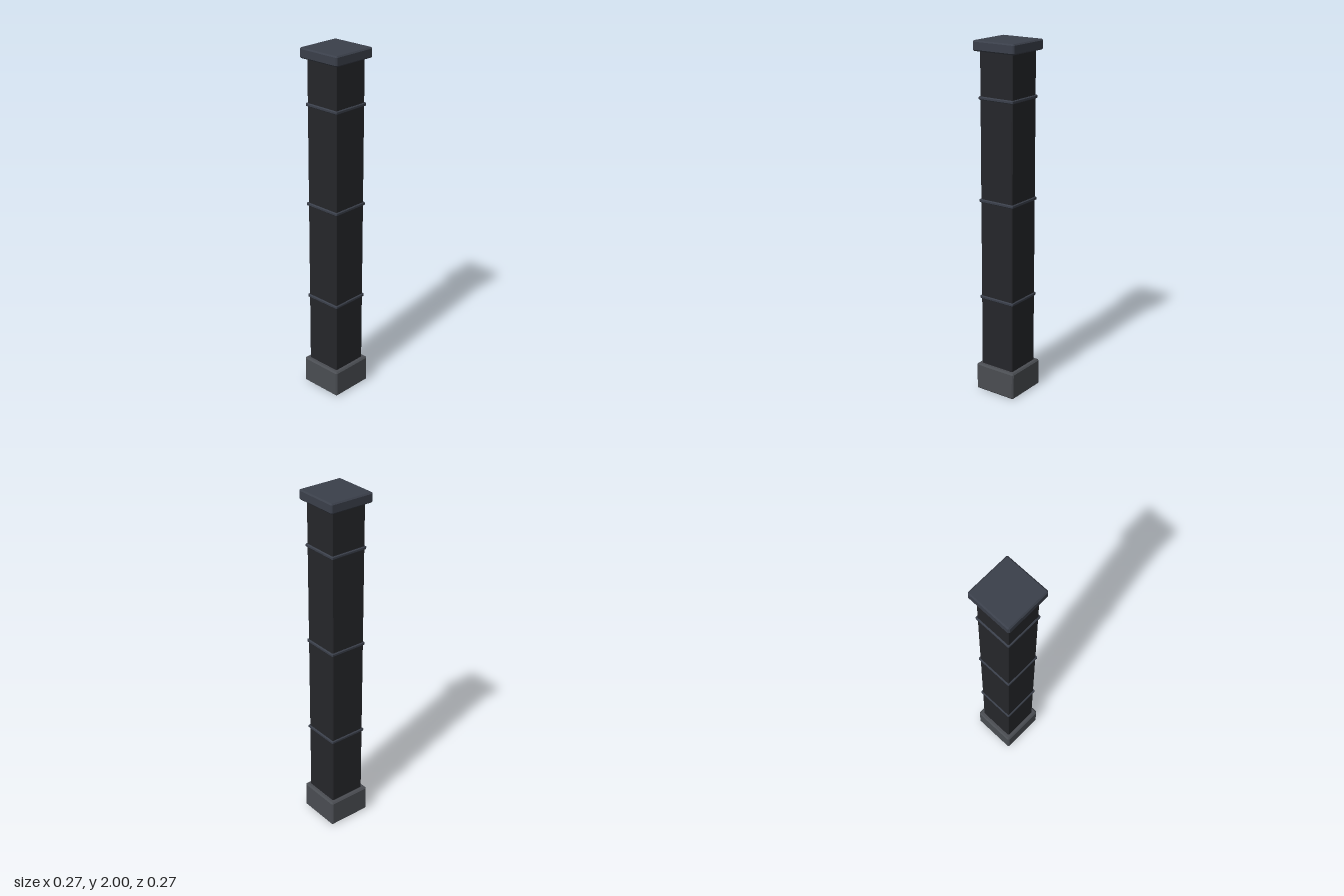
import * as THREE from 'three';
import { ConvexGeometry } from 'three/addons/geometries/ConvexGeometry.js';

// Square block from y0 to y1 with every edge chamfered by c
function chamferedBlock(half, y0, y1, c) {
  const h = (y1 - y0) / 2;
  const points = [];
  for (const x of [-1, 1]) for (const y of [-1, 1]) for (const z of [-1, 1]) {
    points.push(
      new THREE.Vector3(x * half, y * (h - c), z * (half - c)),
      new THREE.Vector3(x * (half - c), y * h, z * (half - c)),
      new THREE.Vector3(x * (half - c), y * (h - c), z * half),
    );
  }
  return new ConvexGeometry(points).translate(0, (y0 + y1) / 2, 0);
}

export function createModel() {
  const model = new THREE.Group();
  model.name = 'squarePillar';

  const material = (color) => new THREE.MeshStandardMaterial({ color, flatShading: true });
  const baseMaterial = material(0x4a4d52);
  const shaftMaterial = material(0x25262a);
  const trimMaterial = material(0x3a3f4a);

  const add = (name, mat, half, y0, y1, chamfer) => {
    const mesh = new THREE.Mesh(chamferedBlock(half, y0, y1, chamfer), mat);
    mesh.name = name;
    model.add(mesh);
  };

  // Plinth, shaft and cap
  add('base', baseMaterial, 0.129, 0, 0.158, 0.008);
  add('shaft', shaftMaterial, 0.106, 0.15, 1.95, 0.004);
  add('cap', trimMaterial, 0.134, 1.944, 2, 0.007);

  // Evenly spaced raised bands around the shaft
  [0.567, 1.131, 1.696].forEach((y, i) => {
    add(`band${i + 1}`, trimMaterial, 0.113, y - 0.009, y + 0.009, 0.004);
  });

  return model;
}
